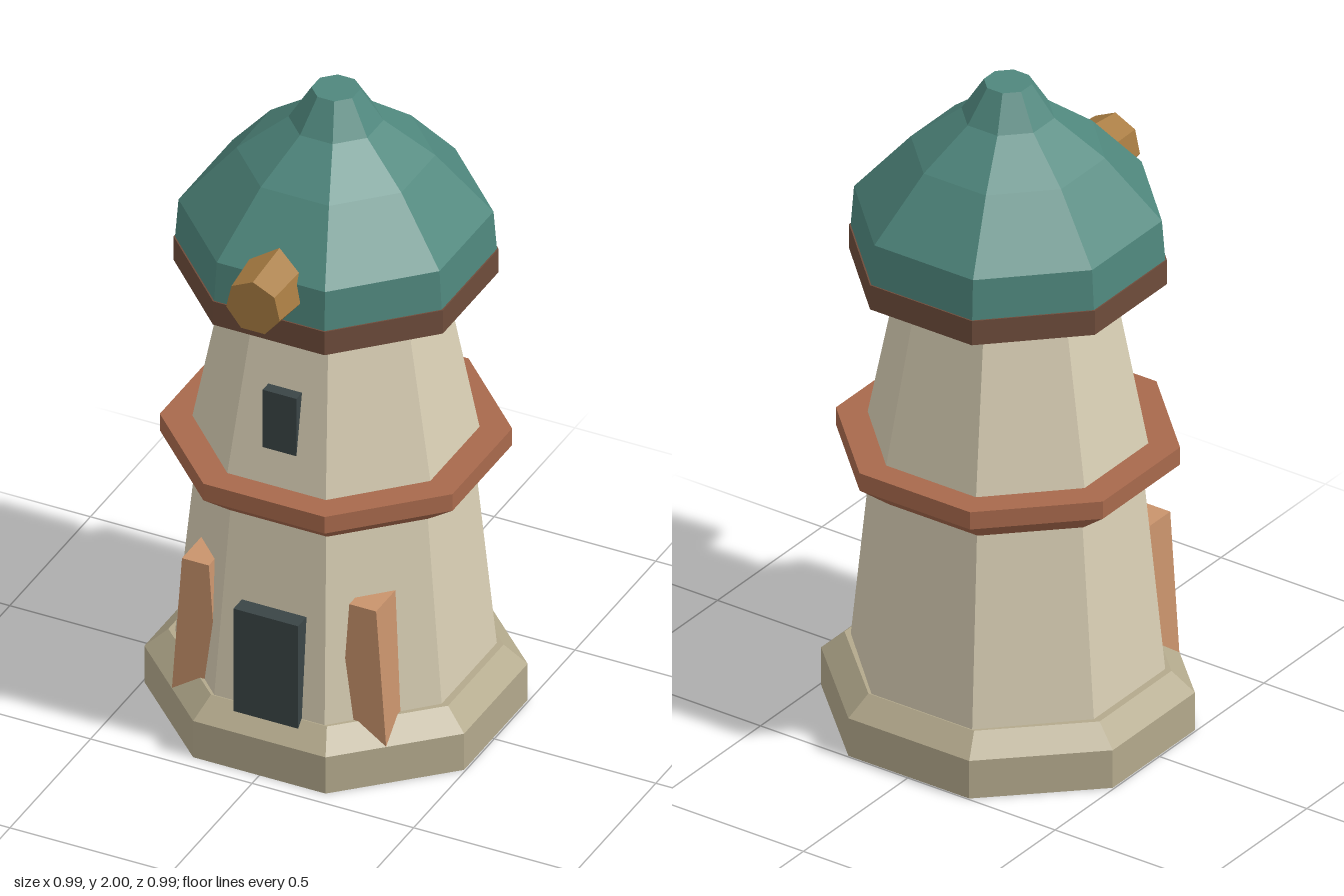
import * as THREE from 'three';

const mat = (name, color) => {
  const m = new THREE.MeshStandardMaterial({ color, flatShading: true });
  m.name = name;
  return m;
};

export function createModel() {
  const plaster = mat('plaster', 0xd8ceb4);
  const stone = mat('stone', 0xb3a98c);
  const clay = mat('clay', 0xa8694c);
  const wood = mat('dark wood', 0x6e4c3b);
  const roof = mat('green roof', 0x4f877d);
  const slate = mat('dark slate', 0x3a4546);
  const terracotta = mat('light terracotta', 0xc9936c);
  const brass = mat('brass', 0xa87c42);

  const model = new THREE.Group();
  model.name = 'observatoryTower';
  const axisZ = -0.02; // the tower sits slightly behind the centre

  const add = (name, geometry, material, x = 0, y = 0, z = 0) => {
    const mesh = new THREE.Mesh(geometry, material);
    mesh.name = name;
    mesh.position.set(x, y, z);
    model.add(mesh);
    return mesh;
  };

  // Closed octagonal solid from [half width across flats, height] pairs
  const octagon = (name, profile, material, depth = 1) => {
    const k = 1 / Math.cos(Math.PI / 8);
    const pts = profile.map(([a, y]) => new THREE.Vector2(a * k, y));
    pts.unshift(new THREE.Vector2(0, profile[0][1]));
    pts.push(new THREE.Vector2(0, profile[profile.length - 1][1]));
    const geometry = new THREE.LatheGeometry(pts, 8, Math.PI / 8);
    geometry.scale(1, 1, depth);
    return add(name, geometry, material, 0, 0, axisZ);
  };

  // Tower, stacked from the ground up
  octagon('base', [[0.495, 0], [0.495, 0.12], [0.433, 0.18]], stone, 0.96);
  octagon('lowerWall', [[0.42, 0.1], [0.355, 0.8]], plaster);
  octagon('middleLedge', [[0.355, 0.76], [0.453, 0.84], [0.453, 0.895]], clay, 0.985);
  octagon('upperWall', [[0.371, 0.88], [0.284, 1.36]], plaster);
  octagon('roofBand', [[0.285, 1.34], [0.417, 1.41], [0.417, 1.487]], wood);
  octagon('domeRoof', [[0.413, 1.485], [0.404, 1.61], [0.255, 1.79],
    [0.122, 1.9], [0.063, 2]], roof);

  // Door and window
  add('door', new THREE.BoxGeometry(0.2, 0.34, 0.1), slate, 0, 0.33, 0.365);
  add('window', new THREE.BoxGeometry(0.104, 0.19, 0.1), slate, 0, 1.095, 0.28);

  // Buttresses: boxes that widen towards the foot
  for (const side of [1, -1]) {
    const geometry = new THREE.BoxGeometry(1, 0.46, 0.2);
    const p = geometry.attributes.position;
    for (let i = 0; i < p.count; i++) {
      p.setX(i, p.getX(i) * (p.getY(i) > 0 ? 0.083 : 0.148));
    }
    add(side > 0 ? 'leftButtress' : 'rightButtress', geometry, terracotta, side * 0.259, 0.33, 0.233);
  }

  // Seven-sided telescope, narrowing towards its front end
  const tube = new THREE.CylinderGeometry(0.085, 0.11, 0.25, 7);
  tube.rotateY(Math.PI); // puts one edge on top once laid down
  tube.rotateX(Math.PI / 2);
  add('telescope', tube, brass, 0, 1.574, 0.37);

  return model;
}
